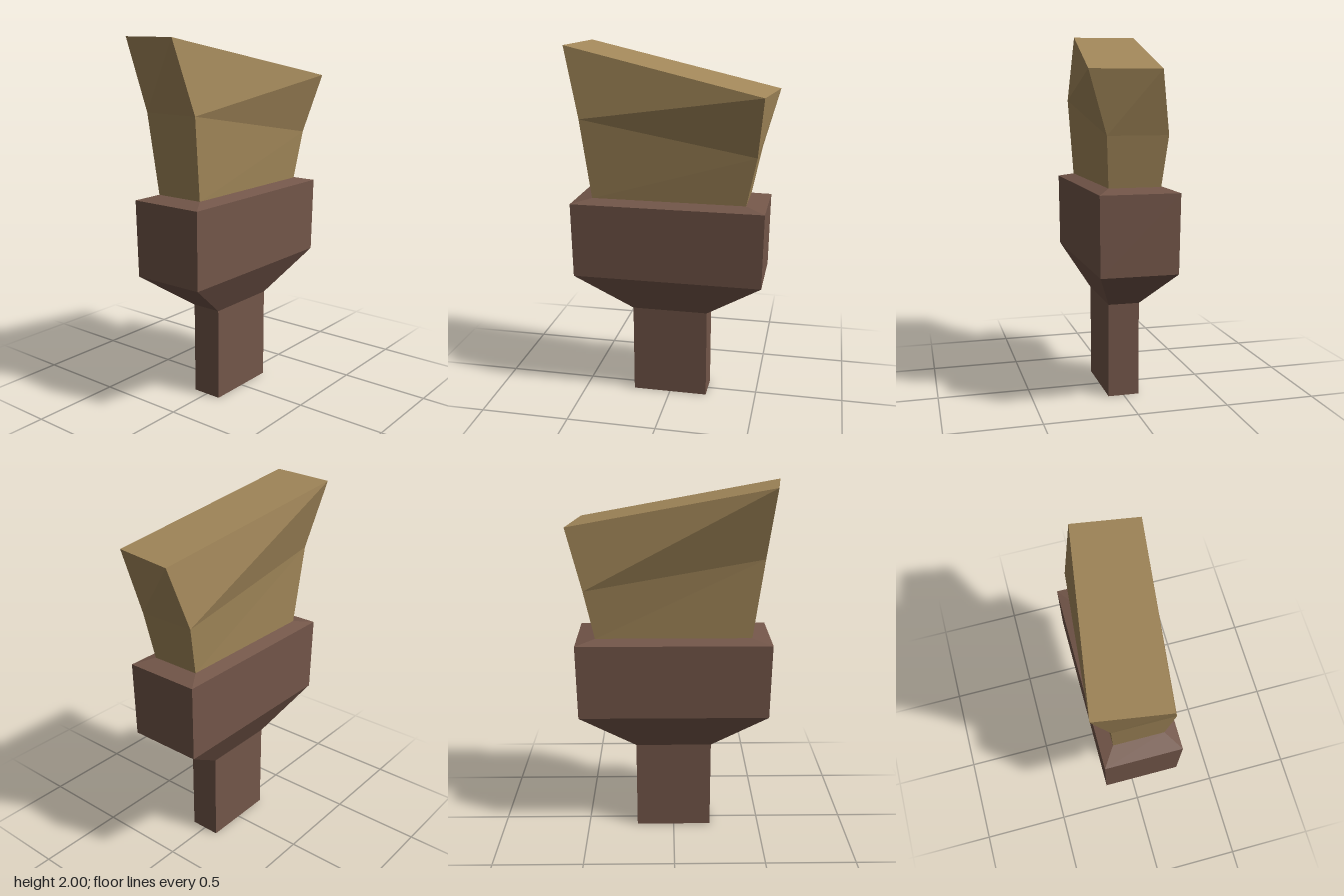
import * as THREE from 'three';

// Four-sided ring, counterclockwise from above, starting at front -x
const ring = (x, z, yLeft, yRight = yLeft) => [
  [-x, yLeft, z], [x, yRight, z], [x, yRight, -z], [-x, yLeft, -z],
];

// Skin a stack of rings with flat faces and cap both ends
function loft(rings) {
  const pos = [];
  const tri = (...corners) => corners.forEach((c) => pos.push(...c));
  for (let k = 0; k < rings.length - 1; k++) {
    const lower = rings[k], upper = rings[k + 1];
    for (let i = 0; i < 4; i++) {
      const j = (i + 1) % 4;
      tri(lower[i], lower[j], upper[j]);
      tri(lower[i], upper[j], upper[i]);
    }
  }
  const b = rings[0], t = rings[rings.length - 1];
  tri(b[0], b[2], b[1]);
  tri(b[0], b[3], b[2]);
  tri(t[0], t[1], t[2]);
  tri(t[0], t[2], t[3]);
  const geometry = new THREE.BufferGeometry();
  geometry.setAttribute('position', new THREE.Float32BufferAttribute(pos, 3));
  geometry.computeVertexNormals();
  return geometry;
}

export function createModel() {
  const model = new THREE.Group();
  model.name = 'brush';

  const wood = new THREE.MeshStandardMaterial({ color: 0x735649 });
  wood.name = 'brown wood';
  const hair = new THREE.MeshStandardMaterial({ color: 0xa3885a });
  hair.name = 'tan bristle';

  const add = (name, rings, material) => {
    const mesh = new THREE.Mesh(loft(rings), material);
    mesh.name = name;
    model.add(mesh);
  };

  // Stem, flared shoulder, head and bevelled rim
  add('handle', [
    ring(0.214, 0.086, 0),
    ring(0.214, 0.086, 0.52),
    ring(0.526, 0.207, 0.74),
    ring(0.532, 0.212, 1.16),
    ring(0.425, 0.14, 1.182),
  ], wood);

  // Bristles lean, widen and twist towards a slanted top
  add('bristles', [
    ring(0.425, 0.14, 1.18),
    ring(0.48, 0.162, 1.62, 1.45),
    [[-0.573, 2, 0.1], [0.516, 1.777, 0.263], [0.571, 1.777, -0.1], [-0.518, 2, -0.263]],
  ], hair);

  return model;
}
